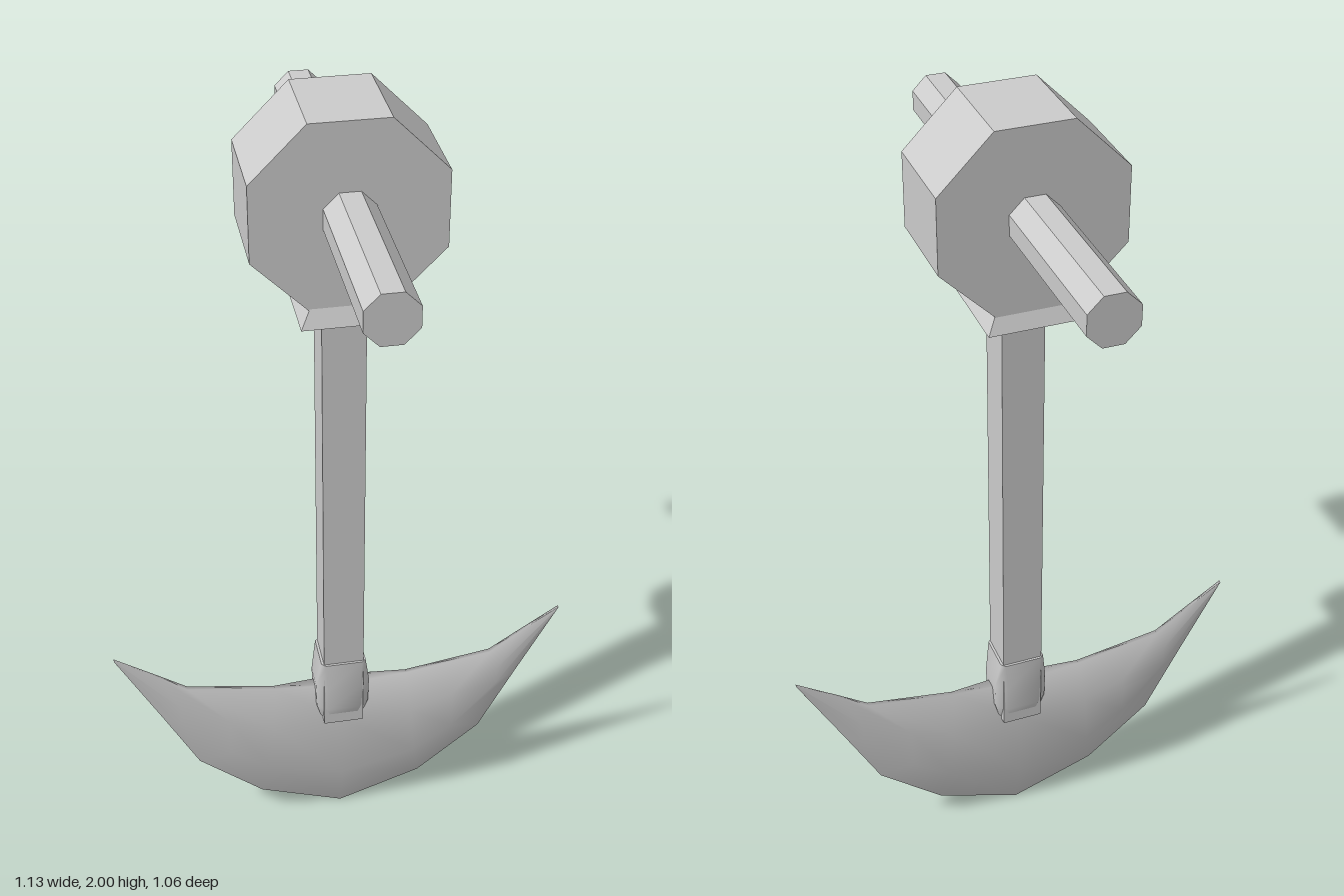
import * as THREE from 'three';

const smooth = new THREE.MeshStandardMaterial({ color: 0xcccccc });
const faceted = new THREE.MeshStandardMaterial({ color: 0xcccccc, flatShading: true });

// Skin a row of equal-length rings and close both ends with their own cap vertices
function loft(rings) {
  const n = rings[0].length, last = rings.length - 1;
  const points = [...rings.flat(), ...rings[0], ...rings[last]];
  const index = [];
  for (let r = 0; r < last; r++) {
    for (let i = 0; i < n; i++) {
      const a = r * n + i, b = r * n + (i + 1) % n;
      index.push(a, a + n, b, b, a + n, b + n);
    }
  }
  const start = (last + 1) * n, end = start + n;
  for (let i = 1; i < n - 1; i++) {
    index.push(start, start + i, start + i + 1, end, end + i + 1, end + i);
  }
  const geometry = new THREE.BufferGeometry();
  geometry.setAttribute('position', new THREE.Float32BufferAttribute(points.flat(), 3));
  geometry.setIndex(index);
  geometry.computeVertexNormals();
  return geometry;
}

// Horizontal rectangle, and the same with cut corners
const rect = (y, w, d) => [[w, y, -d], [w, y, d], [-w, y, d], [-w, y, -d]];
const cutRect = (y, w, d, k = 0.6) => [
  [w, y, -d * k], [w, y, d * k], [w * k, y, d], [-w * k, y, d],
  [-w, y, d * k], [-w, y, -d * k], [-w * k, y, -d], [w * k, y, -d],
];

// Octagonal bar along z with flat sides up, down, left and right
function octagonBar(halfWidth, length) {
  const radius = halfWidth / Math.cos(Math.PI / 8);
  return new THREE.CylinderGeometry(radius, radius, length, 8)
    .rotateY(Math.PI / 8).rotateX(Math.PI / 2);
}

// Blade stations from the middle to the tip: lower edge, two belly points, upper edge as [x, y, half thickness]
const stations = [
  [[0, 0, 0.003], [0, 0.13, 0.032], [0, 0.32, 0.034], [0, 0.43, 0.02]],
  [[0.21, 0.075, 0.003], [0.19, 0.18, 0.033], [0.18, 0.32, 0.034], [0.17, 0.43, 0.006]],
  [[0.37, 0.21, 0.003], [0.29, 0.25, 0.033], [0.29, 0.36, 0.031], [0.39, 0.465, 0.006]],
  [[0.46, 0.385, 0.003], [0.41, 0.36, 0.012], [0.41, 0.41, 0.012], [0.46, 0.515, 0.004]],
  [[0.564, 0.583, 0.003], [0.564, 0.584, 0.004], [0.564, 0.585, 0.004], [0.564, 0.586, 0.003]],
];

function bladeRing(station, side) {
  const front = station.map(([x, y, z]) => [side * x, y, z]);
  const back = station.map(([x, y, z]) => [side * x, y, -z]).reverse();
  return [...front, ...back];
}

export function createModel() {
  const model = new THREE.Group();
  const add = (name, geometry, material, y = 0, z = 0) => {
    const mesh = new THREE.Mesh(geometry, material);
    mesh.name = name;
    mesh.position.set(0, y, z);
    model.add(mesh);
  };

  // Head block and the crossbar through it
  add('head', octagonBar(0.21, 0.225), faceted, 1.79, -0.002);
  add('crossbar', octagonBar(0.056, 1.056), faceted, 1.79);

  // Square collar and shaft
  add('collar', loft([
    rect(1.5, 0.05, 0.05), rect(1.543, 0.107, 0.128), rect(1.585, 0.085, 0.11),
  ]), faceted);
  add('shaft', new THREE.BoxGeometry(0.1, 1.18, 0.1), faceted, 0.92);

  // Socket blending the shaft into the blade
  add('socket', loft([
    cutRect(0.3, 0.035, 0.025), cutRect(0.34, 0.055, 0.045), cutRect(0.38, 0.066, 0.055),
    cutRect(0.45, 0.068, 0.056), cutRect(0.53, 0.056, 0.056, 0.82),
  ]), smooth);

  // Curved two-pointed blade
  add('blade', loft([
    ...stations.slice(1).reverse().map((s) => bladeRing(s, -1)),
    ...stations.map((s) => bladeRing(s, 1)),
  ]), smooth);

  return model;
}
